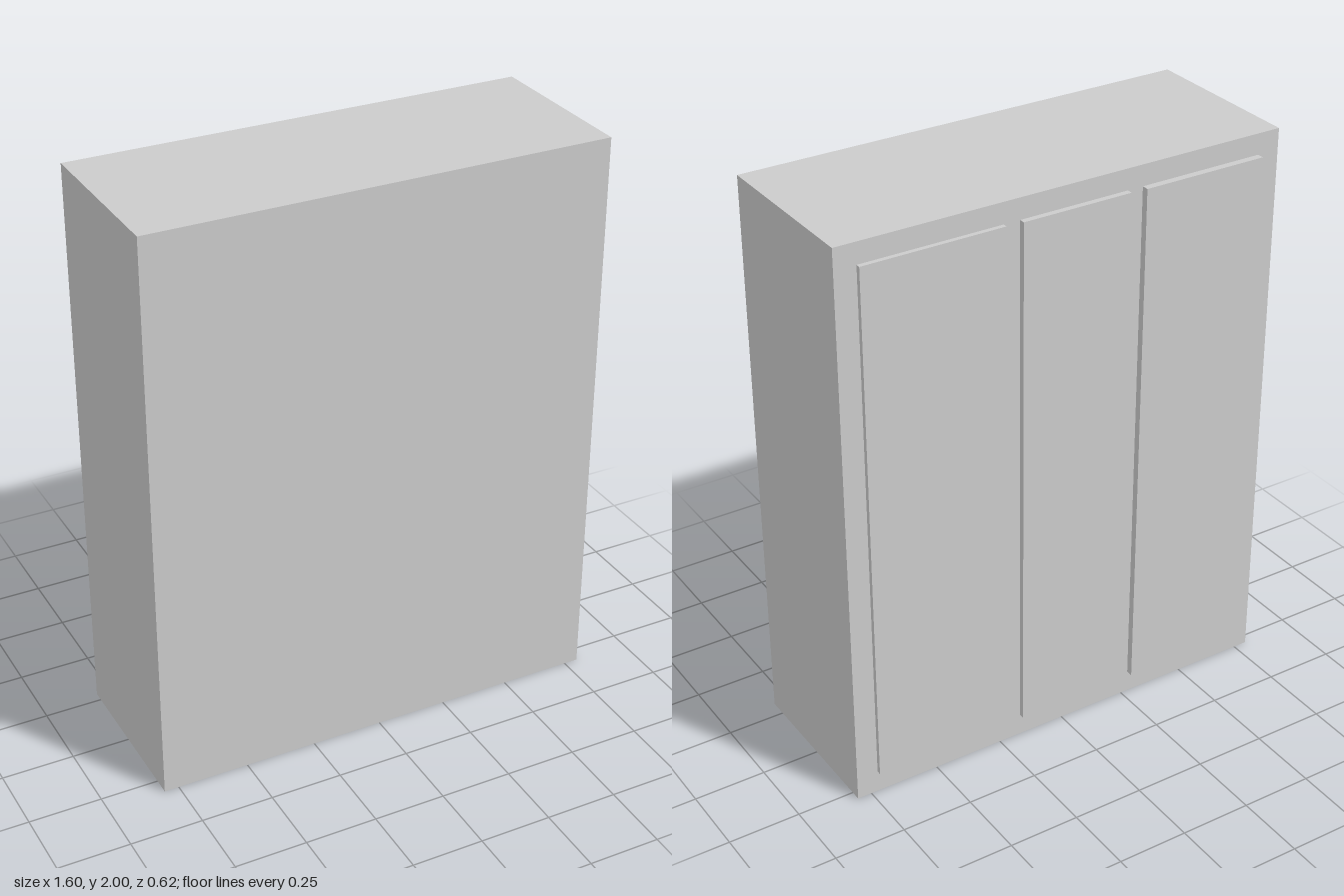
import * as THREE from 'three';

const material = new THREE.MeshStandardMaterial({ color: 0xcccccc, flatShading: true });

// Box given by its lower and upper corners
function box(name, [x0, y0, z0], [x1, y1, z1]) {
  const mesh = new THREE.Mesh(new THREE.BoxGeometry(x1 - x0, y1 - y0, z1 - z0), material);
  mesh.position.set((x0 + x1) / 2, (y0 + y1) / 2, (z0 + z1) / 2);
  mesh.name = name;
  return mesh;
}

export function createModel() {
  const group = new THREE.Group();
  group.name = 'cabinet';
  const back = -0.286;

  // Solid carcass
  group.add(box('carcass', [-0.8, 0, back], [0.8, 2, 0.31]));

  // Three raised door panels, each a little thinner than the last
  const doors = [
    ['rightDoor', -0.722, -0.276, -0.31],
    ['middleDoor', -0.22, 0.17, -0.306],
    ['leftDoor', 0.228, 0.724, -0.302],
  ];
  for (const [name, x0, x1, face] of doors) {
    group.add(box(name, [x0, 0.08, face], [x1, 1.927, back]));
  }
  return group;
}
